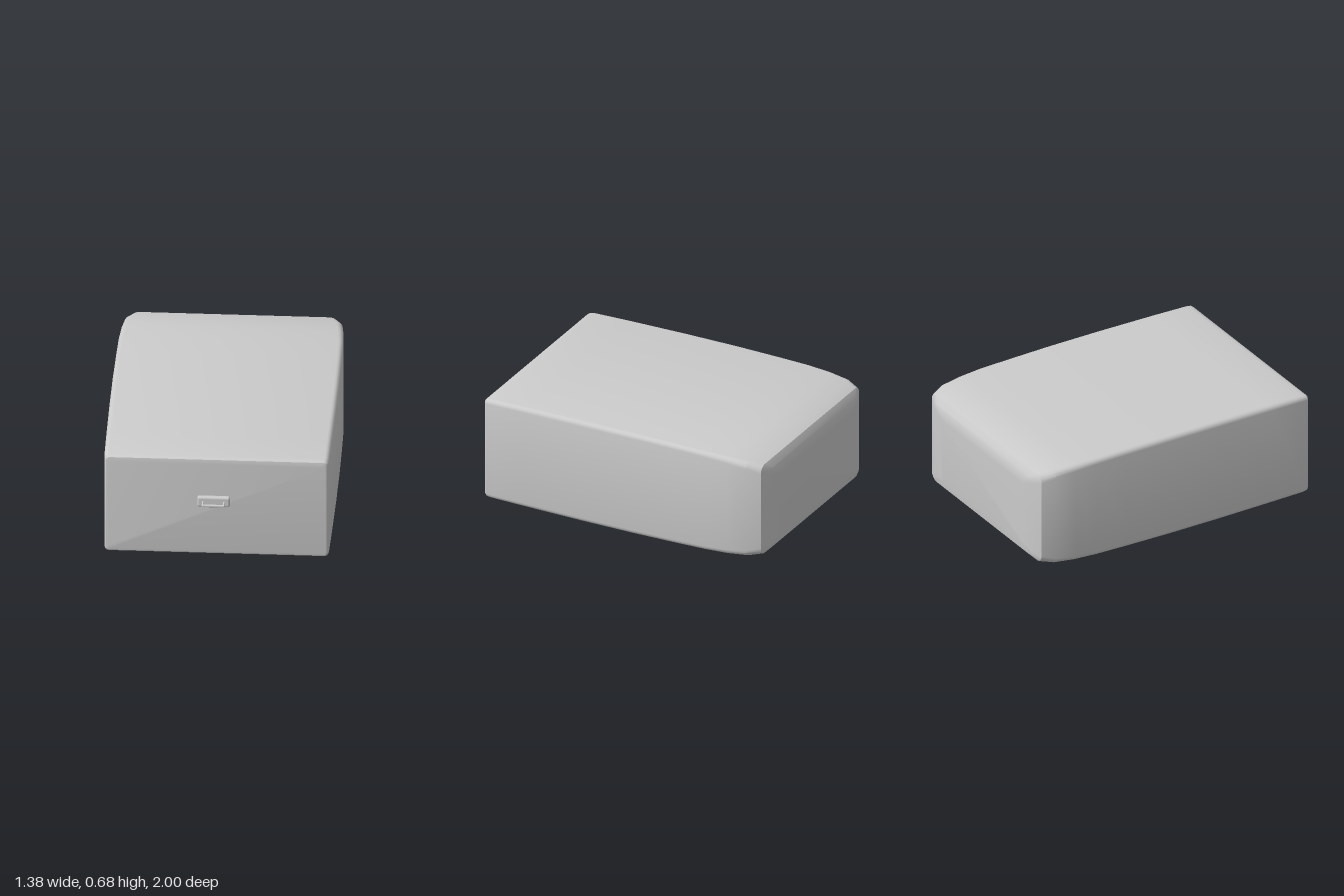
import * as THREE from 'three';
import { toCreasedNormals } from 'three/addons/utils/BufferGeometryUtils.js';
import { RoundedBoxGeometry } from 'three/addons/geometries/RoundedBoxGeometry.js';

const grey = new THREE.MeshStandardMaterial({ color: 0xcccccc });

// Rounded rectangle, counter-clockwise seen from the front
function section([z, halfWidth, bottom, top, r], steps = 4) {
  const ring = [];
  const corners = [[1, 1], [-1, 1], [-1, -1], [1, -1]];
  corners.forEach(([sx, sy], q) => {
    const cx = sx * (halfWidth - r);
    const cy = sy > 0 ? top - r : bottom + r;
    for (let k = 0; k <= steps; k++) {
      const a = (q + k / steps) * Math.PI / 2;
      ring.push([cx + r * Math.cos(a), cy + r * Math.sin(a), z]);
    }
  });
  return ring;
}

// Skin the sections from front to back and close both ends
function loft(sections) {
  const rings = sections.map(s => section(s));
  const n = rings[0].length;
  const position = rings.flat(2);
  const index = [];
  for (let i = 0; i < rings.length - 1; i++) {
    for (let j = 0; j < n; j++) {
      const a = i * n + j, b = i * n + (j + 1) % n;
      index.push(a, a + n, b, b, a + n, b + n);
    }
  }
  const last = (rings.length - 1) * n;
  for (let j = 1; j < n - 1; j++) {
    index.push(0, j, j + 1);
    index.push(last, last + j + 1, last + j);
  }
  const geometry = new THREE.BufferGeometry();
  geometry.setAttribute('position', new THREE.Float32BufferAttribute(position, 3));
  geometry.setIndex(index);
  return toCreasedNormals(geometry, 0.45);
}

function bar(name, w, h, d, r, x, y, z) {
  const mesh = new THREE.Mesh(new RoundedBoxGeometry(w, h, d, 3, r), grey);
  mesh.name = name;
  mesh.position.set(x, y, z);
  return mesh;
}

export function createModel() {
  const model = new THREE.Group();
  model.name = 'drawerBox';

  // Body: z, half width, bottom, top, corner radius
  const body = new THREE.Mesh(loft([
    [0.92, 0.655, 0.037, 0.645, 0.015],
    [0.917, 0.67, 0.021, 0.662, 0.02],
    [0.905, 0.68, 0.011, 0.67, 0.025],
    [0.88, 0.684, 0.007, 0.674, 0.028],
    [0.65, 0.687, 0.004, 0.678, 0.03],
    [0.25, 0.69, 0.001, 0.68, 0.03],
    [-0.1, 0.69, 0.001, 0.679, 0.03],
    [-0.4, 0.687, 0.003, 0.675, 0.03],
    [-0.6, 0.684, 0.006, 0.671, 0.03],
    [-0.75, 0.677, 0.009, 0.665, 0.035],
    [-0.88, 0.664, 0.016, 0.656, 0.045],
    [-0.965, 0.632, 0.033, 0.635, 0.05],
    [-0.992, 0.565, 0.06, 0.595, 0.03],
    [-1.0, 0.47, 0.11, 0.54, 0.02],
  ]), grey);
  body.name = 'body';
  model.add(body);

  // Handle: mounting plate with a thin square loop
  const handle = new THREE.Group();
  handle.name = 'handle';
  handle.position.set(-0.015, 0.385, 0);
  handle.add(bar('handlePlate', 0.2, 0.07, 0.034, 0.014, 0, 0, 0.933));
  handle.add(bar('handleGrip', 0.14, 0.016, 0.014, 0.006, 0, 0, 0.993));
  for (const side of [-1, 1]) {
    handle.add(bar('handleArm', 0.012, 0.016, 0.06, 0.005, side * 0.064, 0, 0.969));
  }
  model.add(handle);

  return model;
}
